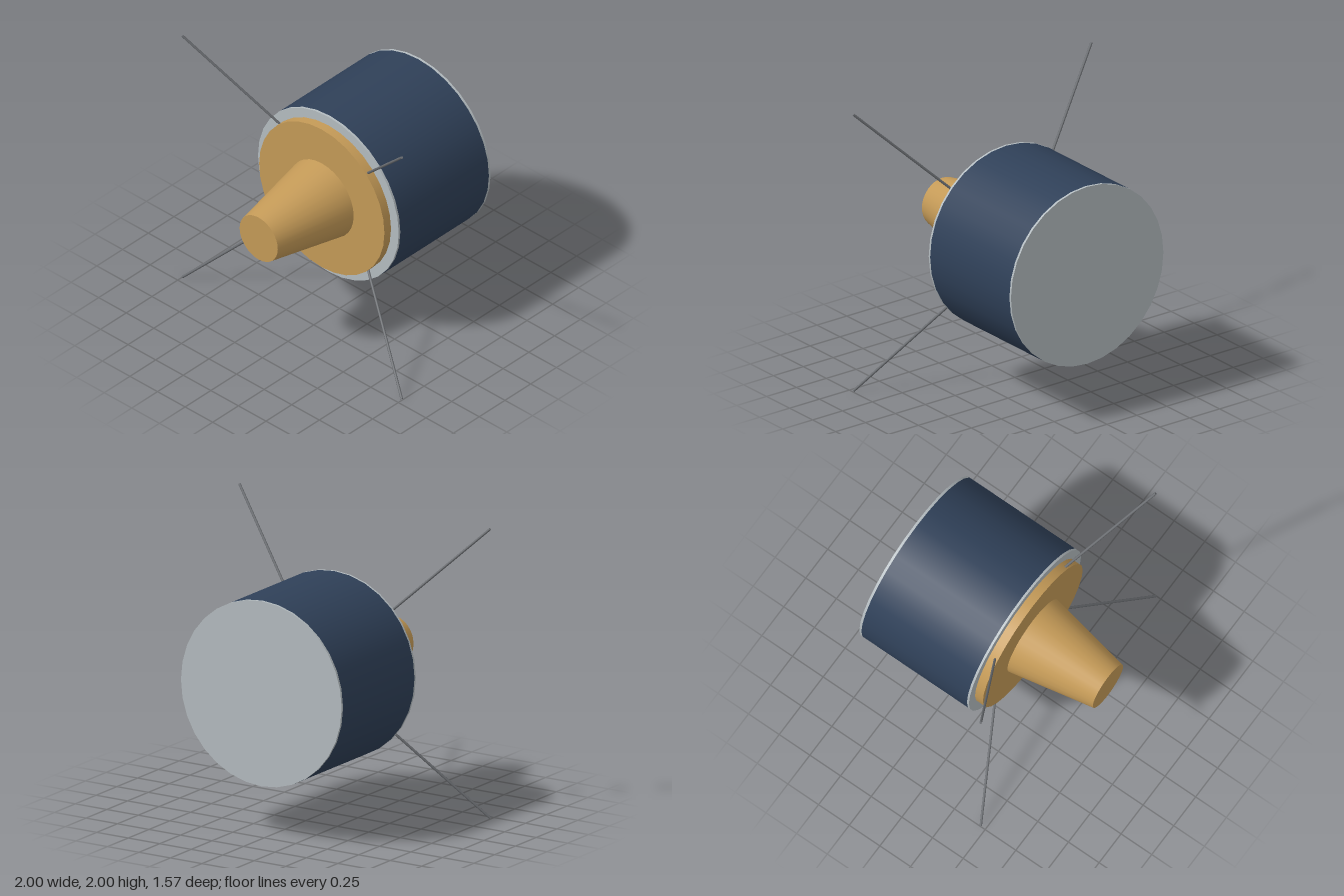
import * as THREE from 'three';

const material = (name, color) => {
  const m = new THREE.MeshStandardMaterial({ color });
  m.name = name;
  return m;
};

export function createModel() {
  const model = new THREE.Group();
  model.name = 'capsule';
  const navy = material('navy', 0x2f4058);
  const silver = material('silver', 0xb4bcc0);
  const gold = material('gold', 0xc49a57);
  const steel = material('steel', 0x6a6d71);

  // Round part along z, from zBack to zFront
  const round = (name, mat, rFront, rBack, zBack, zFront) => {
    const geo = new THREE.CylinderGeometry(rFront, rBack, zFront - zBack, 32);
    geo.rotateX(Math.PI / 2);
    const mesh = new THREE.Mesh(geo, mat);
    mesh.name = name;
    mesh.position.set(0, 1, (zFront + zBack) / 2);
    model.add(mesh);
  };

  // Drum with a thin plate at each end
  round('body', navy, 0.638, 0.638, -0.768, 0.092);
  round('backPlate', silver, 0.638, 0.638, -0.785, -0.768);
  round('frontPlate', silver, 0.638, 0.638, 0.092, 0.108);

  // Stepped collar and tapered nose
  round('collar', gold, 0.568, 0.568, 0.108, 0.172);
  round('nose', gold, 0.173, 0.289, 0.172, 0.785);

  // Four rods splayed outwards and forwards
  const up = new THREE.Vector3(0, 1, 0);
  for (const sx of [-1, 1]) {
    for (const sy of [-1, 1]) {
      const start = new THREE.Vector3(sx * 0.4, 1 + sy * 0.4, 0.15);
      const end = new THREE.Vector3(sx * 0.995, 1 + sy * 0.995, 0.461);
      const dir = end.clone().sub(start);
      const rod = new THREE.Mesh(new THREE.CylinderGeometry(0.009, 0.009, dir.length(), 8), steel);
      rod.name = (sy > 0 ? 'upper' : 'lower') + (sx > 0 ? 'Left' : 'Right') + 'Antenna';
      rod.position.copy(start).add(end).multiplyScalar(0.5);
      rod.quaternion.setFromUnitVectors(up, dir.normalize());
      model.add(rod);
    }
  }
  return model;
}
